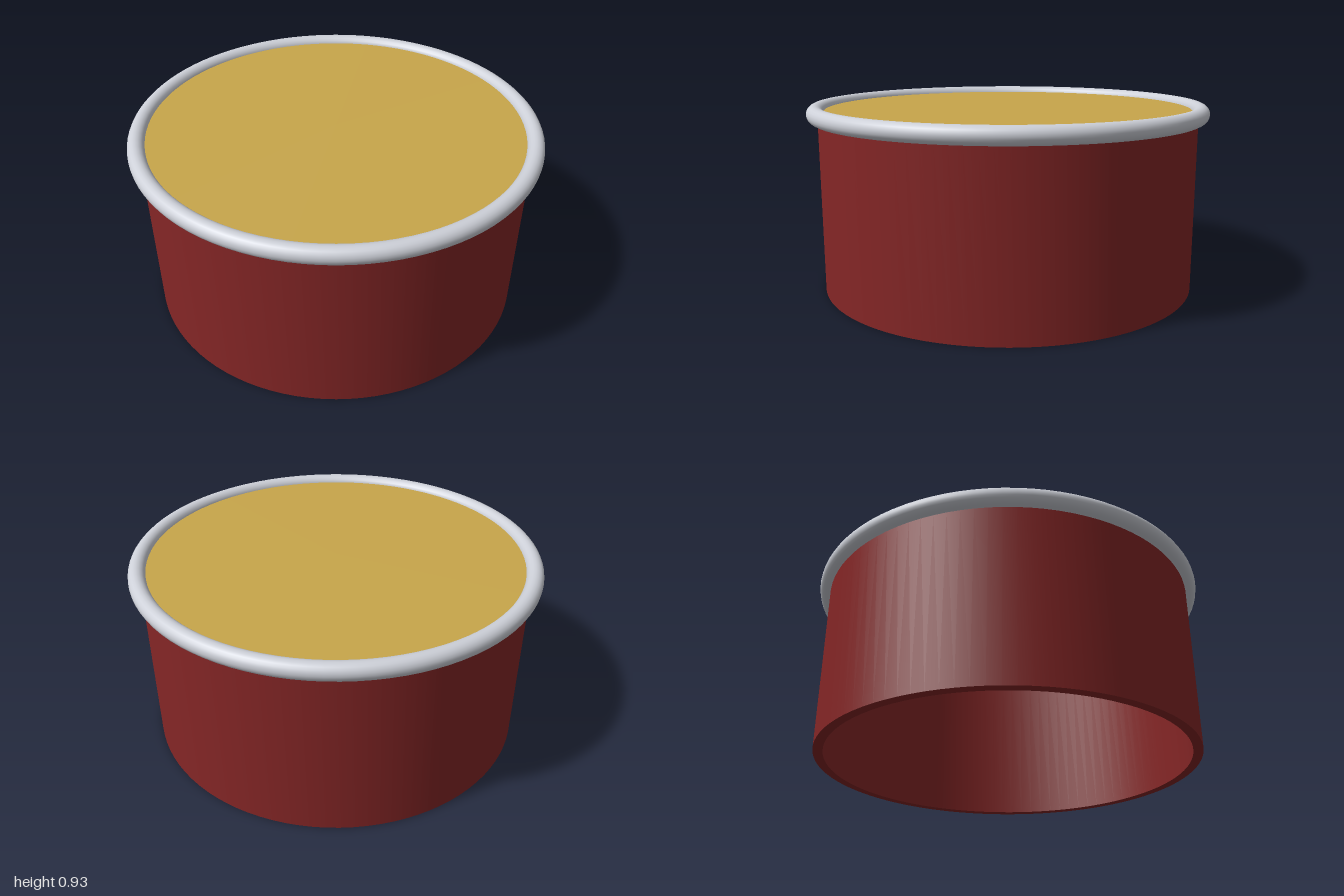
import * as THREE from 'three';
import { toCreasedNormals } from 'three/addons/utils/BufferGeometryUtils.js';

const SEGMENTS = 96;

function material(name, color) {
  const m = new THREE.MeshStandardMaterial({ color });
  m.name = name;
  return m;
}

export function createModel() {
  const group = new THREE.Group();
  group.name = 'drum';
  const red = material('dark red', 0x852626);
  const tan = material('tan skin', 0xc8a64b);
  const silver = material('silver', 0xcdd0d8);

  const add = (name, geometry, mat, y = 0) => {
    const mesh = new THREE.Mesh(geometry, mat);
    mesh.name = name;
    mesh.position.y = y;
    group.add(mesh);
    return mesh;
  };

  // Hollow shell, open at the bottom: outer wall up, inner wall down
  const profile = [[0.9, 0], [0.947, 0], [0.947, 0.85], [0.9, 0.85], [0.9, 0]]
    .map(([r, y]) => new THREE.Vector2(r, y));
  add('shell', toCreasedNormals(new THREE.LatheGeometry(profile, SEGMENTS), 0.6), red);

  // Drumhead disc resting on the shell
  add('drumhead', new THREE.CylinderGeometry(0.94, 0.94, 0.045, SEGMENTS), tan, 0.8725);

  // Rounded metal hoop around the head
  const hoop = new THREE.TorusGeometry(0.958, 0.042, 20, SEGMENTS);
  hoop.rotateX(-Math.PI / 2);
  add('hoop', hoop, silver, 0.885);

  return group;
}
